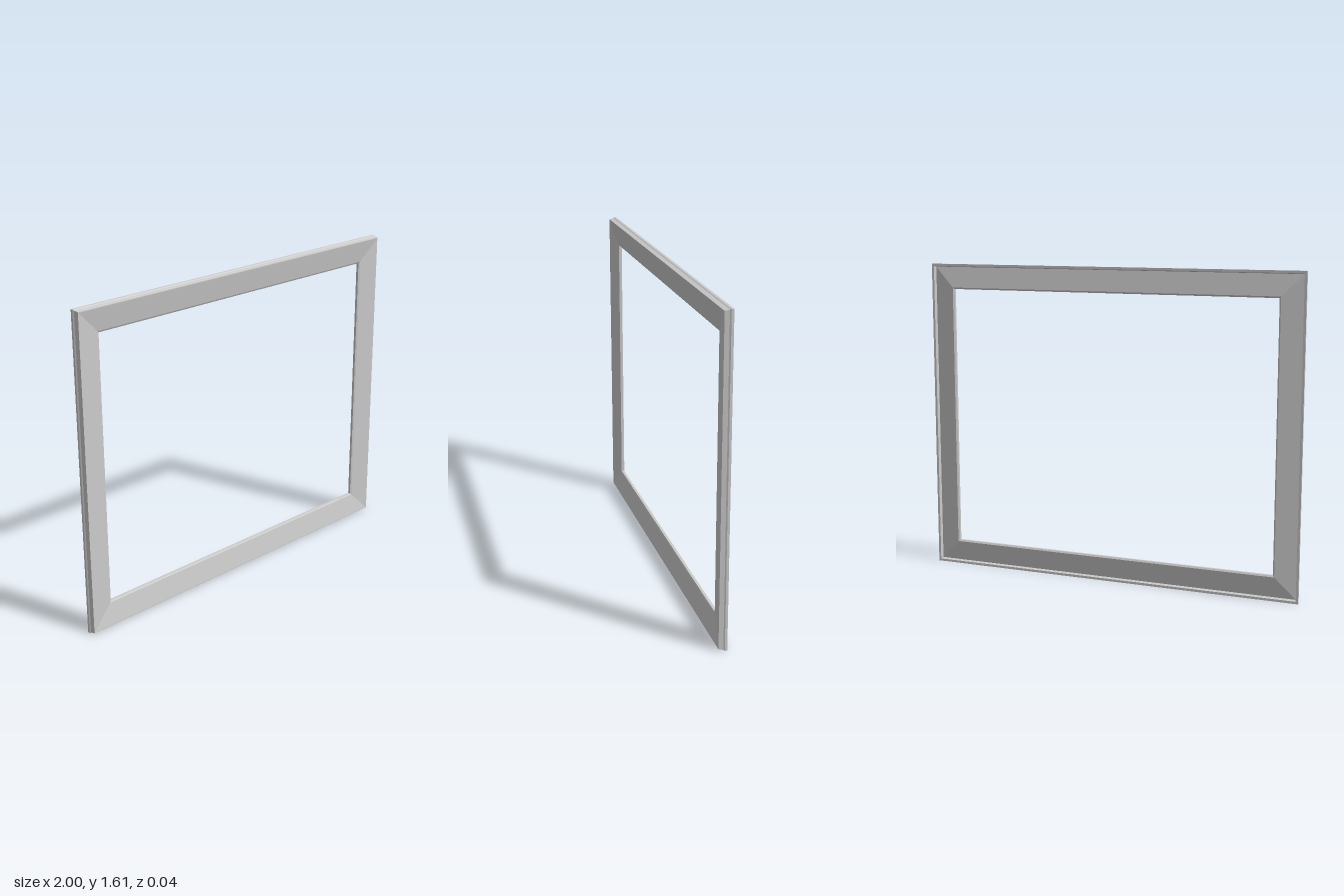
import * as THREE from 'three';

const HALF_W = 1, HALF_H = 0.807;

// Moulding cross-section: [distance inward from the outer edge, z],
// running outer back -> outer front -> inner front -> inner back.
const PROFILE = [
  [0, -0.02], [0, -0.008], [0.004, -0.002], [0.008, 0.02], // outer edge
  [0.012, 0.02], [0.122, 0.002], [0.13, -0.002],           // sloping front
  [0.13, -0.015], [0.122, -0.02],                          // inner edge
  [0.016, -0.002], [0.012, -0.02],                         // sloping back and rim
];
const CORNERS = [[-1, -1], [1, -1], [1, 1], [-1, 1]];

// One mitred rail between two neighbouring corners
function rail(name, from, to, material) {
  const at = ([sx, sy], [u, z]) => [sx * (HALF_W - u), HALF_H + sy * (HALF_H - u), z];
  const positions = [];
  PROFILE.forEach((p, i) => {
    const q = PROFILE[(i + 1) % PROFILE.length];
    const a = at(from, p), b = at(to, p), c = at(to, q), d = at(from, q);
    positions.push(...a, ...b, ...c, ...a, ...c, ...d);
  });
  const geometry = new THREE.BufferGeometry();
  geometry.setAttribute('position', new THREE.Float32BufferAttribute(positions, 3));
  geometry.computeVertexNormals();
  const mesh = new THREE.Mesh(geometry, material);
  mesh.name = name;
  return mesh;
}

export function createModel() {
  const group = new THREE.Group();
  group.name = 'pictureFrame';
  const material = new THREE.MeshStandardMaterial({ color: 0xcccccc, flatShading: true });
  ['bottomRail', 'leftRail', 'topRail', 'rightRail'].forEach((name, i) =>
    group.add(rail(name, CORNERS[i], CORNERS[(i + 1) % 4], material)));
  return group;
}
